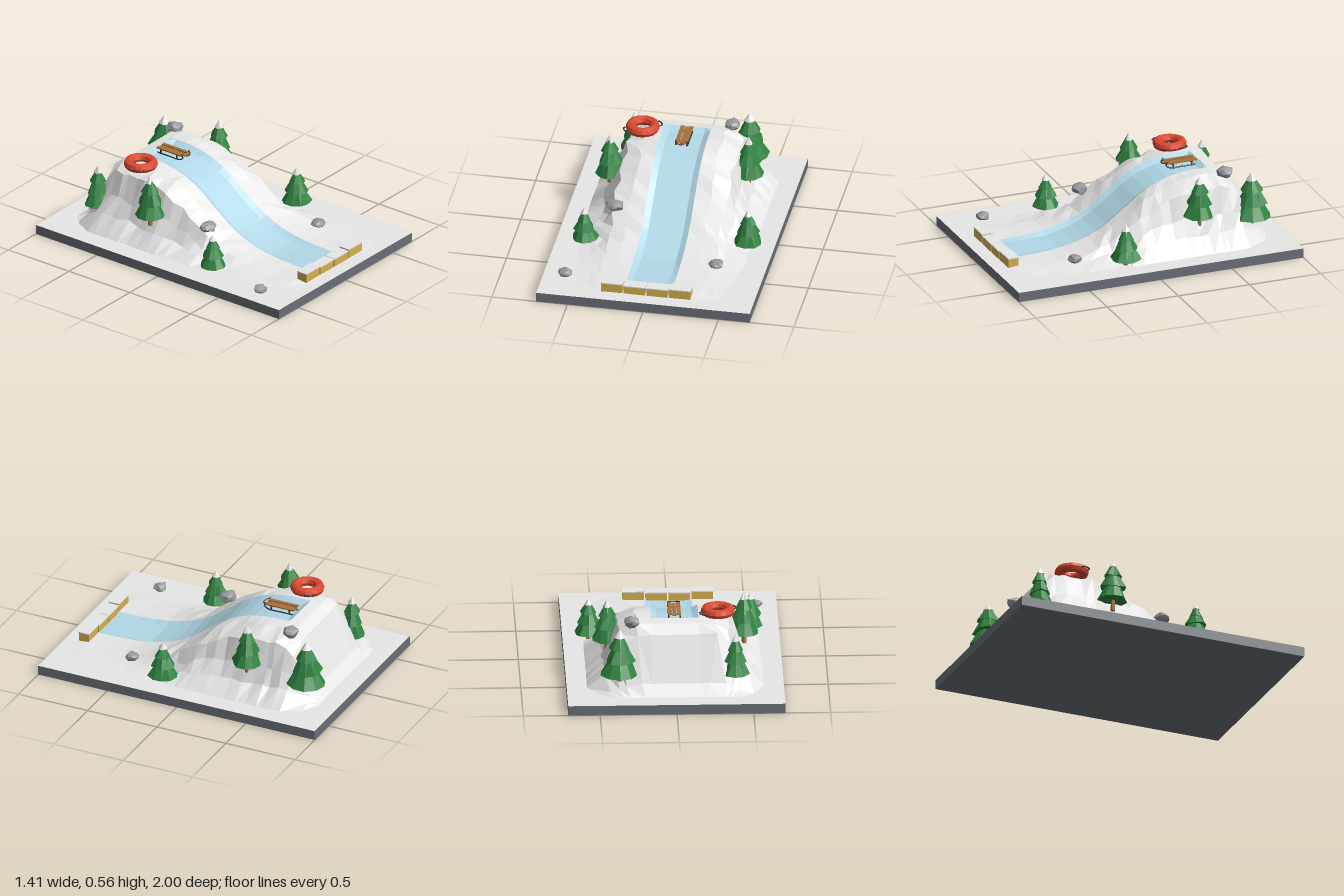
import * as THREE from 'three';

const mat = (name, color, extra = {}) => Object.assign(new THREE.MeshStandardMaterial({ color, flatShading: true, ...extra }), { name });
const M = {
  snow: mat('snow', 0xf0f0f0, { side: THREE.DoubleSide }),
  ice: mat('ice', 0xb2d9e8, { side: THREE.DoubleSide }),
  slab: mat('slate', 0x6a6f76),
  wood: mat('wood', 0xa8703a),
  leaf: mat('foliage', 0x2f8440),
  rock: mat('rock', 0x97999d),
  red: mat('red rubber', 0xd9482f),
  straw: mat('straw', 0xd6b050),
  dark: mat('dark metal', 0x3a3c40),
  cord: mat('brown cord', 0x7a4426),
};

// Repeatable noise in -1..1 from a position
const noise = (x, y, z) => {
  const s = Math.sin(Math.round(x * 1e3) * 12.99 + Math.round(y * 1e3) * 78.23 + Math.round(z * 1e3) * 37.72) * 43758.55;
  return (s - Math.floor(s)) * 2 - 1;
};

function add(parent, name, geo, material, x = 0, y = 0, z = 0) {
  const m = new THREE.Mesh(geo, material);
  m.name = name;
  m.position.set(x, y, z);
  parent.add(m);
  return m;
}

function subgroup(parent, name, x = 0, y = 0, z = 0) {
  const g = new THREE.Group();
  g.name = name;
  g.position.set(x, y, z);
  parent.add(g);
  return g;
}

function tube(points, r, n = 12) {
  const curve = new THREE.CatmullRomCurve3(points.map(p => new THREE.Vector3(...p)));
  return new THREE.TubeGeometry(curve, n, r, 6);
}

// Hill: rows of z, ridge height and width scale, swept over fixed columns
function buildHill(root) {
  const rows = [
    [-0.87, 0.067, 0.8], [-0.81, 0.14, 0.88], [-0.68, 0.43, 1], [-0.62, 0.485, 1], [-0.55, 0.496, 1],
    [-0.51, 0.496, 1], [-0.43, 0.496, 1], [-0.36, 0.49, 1], [-0.28, 0.475, 1], [-0.2, 0.449, 1],
    [-0.13, 0.418, 1], [-0.06, 0.375, 1], [0.01, 0.32, 1], [0.08, 0.27, 1], [0.15, 0.218, 1],
    [0.22, 0.176, 1], [0.3, 0.142, 1], [0.38, 0.117, 1], [0.47, 0.097, 1], [0.56, 0.086, 1],
    [0.68, 0.079, 1], [0.83, 0.077, 0.95], [0.92, 0.068, 0.8]];
  const half = [[0.115, 1], [0.155, 1], [0.255, 0.99], [0.36, 0.87], [0.41, 0.5], [0.47, 0.24], [0.58, 0]];
  const cols = [...half.map(([x, f]) => [-x, f]).reverse(), ...half];
  const grid = rows.map(([z, h, s], j) => cols.map(([x, f]) => {
    const ax = Math.abs(x), rise = h - 0.065;
    let y = 0.065 + rise * f;
    if (ax > 0.57) y = 0.06;
    else if (ax > 0.2) y = Math.max(0.066, y + noise(x, j, 3) * Math.min(0.018, rise * 0.1));
    else if (ax < 0.12 && j > 4 && j < rows.length - 1) y = Math.max(0.07, h - 0.022);
    const dx = ax > 0.2 && ax < 0.57 ? noise(x, 7, j) * 0.018 : 0;
    return [(x + dx) * (ax > 0.16 ? s : 1), y, z];
  }));
  const tris = { snow: [], ice: [] };
  for (let j = 0; j < rows.length - 1; j++) for (let i = 0; i < cols.length - 1; i++) {
    const icy = i >= 5 && i <= 7 && j >= 4 && j < rows.length - 2;
    const a = grid[j][i], b = grid[j][i + 1], c = grid[j + 1][i + 1], d = grid[j + 1][i];
    tris[icy ? 'ice' : 'snow'].push(...a, ...d, ...c, ...a, ...c, ...b);
  }
  for (const [key, name] of [['snow', 'snowHill'], ['ice', 'iceSlide']]) {
    const geo = new THREE.BufferGeometry();
    geo.setAttribute('position', new THREE.Float32BufferAttribute(tris[key], 3));
    geo.computeVertexNormals();
    add(root, name, geo, M[key]);
  }
}

// One ragged cone tier, its base at y = 0
function tier(rTop, rBottom, h, seed, rough = 0.14) {
  const geo = new THREE.CylinderGeometry(rTop, rBottom, h, 10).translate(0, h / 2, 0);
  const p = geo.attributes.position;
  for (let i = 0; i < p.count; i++) {
    if (p.getY(i) > h * 0.5 || Math.hypot(p.getX(i), p.getZ(i)) < 1e-4) continue;
    const n = noise(p.getX(i), seed, p.getZ(i)), k = 1 + n * rough;
    p.setXYZ(i, p.getX(i) * k, n * h * 0.07, p.getZ(i) * k);
  }
  geo.computeVertexNormals();
  return geo;
}

// Fir tree: trunk, three tiers and a snowy tip
function buildTree(root, x, z, foot, low, top, r, seed) {
  const g = subgroup(root, 'firTree', x, 0, z);
  const h = top - low;
  add(g, 'trunk', new THREE.CylinderGeometry(0.012, 0.016, low - foot + 0.08, 8), M.wood, 0, (foot + low + 0.08) / 2, 0);
  [[0, 0.42, 1, 0.42], [0.3, 0.38, 0.78, 0.3], [0.58, 0.3, 0.55, 0.15]].forEach(([y, th, r0, r1], i) =>
    add(g, 'foliageTier', tier(r * r1, r * r0, h * th, seed + i), M.leaf, 0, low + h * y, 0));
  add(g, 'snowTip', tier(0, r * 0.28, h * 0.18, seed + 5), M.snow, 0, low + h * 0.82, 0);
}

function buildRock(root, x, y, z, rx, ry, rz) {
  const geo = new THREE.IcosahedronGeometry(1, 1);
  const p = geo.attributes.position;
  for (let i = 0; i < p.count; i++) {
    const k = 0.94 + 0.14 * noise(p.getX(i) + x, p.getY(i), p.getZ(i) + z);
    p.setXYZ(i, p.getX(i) * k * rx, p.getY(i) * k * ry, p.getZ(i) * k * rz);
  }
  geo.computeVertexNormals();
  add(root, 'rock', geo, M.rock, x, y, z);
}

// Inflatable ring with two handles
function buildRing(root) {
  const g = subgroup(root, 'snowTube', -0.283, 0.513, -0.465);
  add(g, 'ring', new THREE.TorusGeometry(0.08, 0.032, 8, 18).rotateX(Math.PI / 2), M.red);
  for (const a of [0.53, 0.53 + Math.PI]) {
    const h = subgroup(g, 'handle');
    h.rotation.y = a;
    add(h, 'grip', tube([[0.1, 0, -0.03], [0.122, 0, -0.026], [0.13, 0, 0], [0.122, 0, 0.026], [0.1, 0, 0.03]], 0.005), M.dark);
  }
}

// Sled: slats on crossbars, two curled runners and a pull cord
function buildSled(root) {
  const g = subgroup(root, 'sled', 0, 0.474, -0.42);
  for (const x of [-0.029, 0, 0.029])
    add(g, 'slat', new THREE.BoxGeometry(0.025, 0.008, 0.21), M.wood, x, x ? 0.036 : 0.03, 0);
  for (const z of [-0.07, 0.06]) {
    add(g, 'crossbar', new THREE.BoxGeometry(0.076, 0.007, 0.014), M.wood, 0, 0.024, z);
    for (const s of [-1, 1]) add(g, 'post', new THREE.BoxGeometry(0.007, 0.03, 0.009), M.dark, s * 0.036, 0.015, z);
  }
  for (const s of [-1, 1])
    add(g, 'runner', tube([[s * 0.037, 0.004, -0.1], [s * 0.037, 0.004, 0], [s * 0.037, 0.005, 0.08], [s * 0.037, 0.024, 0.11], [s * 0.037, 0.05, 0.1]], 0.0045, 18), M.dark);
  add(g, 'pullCord', tube([[-0.037, 0.045, 0.1], [-0.024, 0.038, 0.122], [0, 0.034, 0.13], [0.024, 0.038, 0.122], [0.037, 0.045, 0.1]], 0.004), M.cord);
}

export function createModel() {
  const root = new THREE.Group();
  root.name = 'sleddingHill';

  // Slab with a snowy top face
  add(root, 'baseSlab', new THREE.BoxGeometry(1.414, 0.065, 2), [M.slab, M.slab, M.snow, M.slab, M.slab, M.slab], 0, 0.0325, 0);
  buildHill(root);

  // x, z, trunk foot, foliage bottom, top, radius
  [[-0.39, -0.735, 0.1, 0.18, 0.455, 0.09],
    [0.365, -0.775, 0.15, 0.2, 0.508, 0.125],
    [-0.46, -0.25, 0.2, 0.275, 0.557, 0.1],
    [0.435, -0.38, 0.2, 0.29, 0.565, 0.1],
    [0.537, 0.18, 0.07, 0.113, 0.352, 0.095],
    [-0.52, 0.31, 0.065, 0.105, 0.325, 0.086]].forEach((t, i) => buildTree(root, ...t, i * 11 + 1));

  buildRock(root, -0.35, 0.265, 0.14, 0.062, 0.038, 0.055);
  buildRock(root, 0.28, 0.5, -0.62, 0.053, 0.04, 0.06);
  buildRock(root, 0.385, 0.1, 0.475, 0.05, 0.032, 0.048);
  buildRock(root, -0.565, 0.08, 0.735, 0.05, 0.03, 0.045);

  buildRing(root);
  buildSled(root);

  // Straw bales with snow on top across the run-out
  [-0.225, -0.075, 0.075, 0.225].forEach((x, i) => {
    const h = i % 3 ? 0.055 : 0.063;
    add(root, 'strawBale', new THREE.BoxGeometry(0.14, h, 0.072), M.straw, x, 0.065 + h / 2, 0.87);
    add(root, 'baleSnow', new THREE.BoxGeometry(0.146, 0.007, 0.078), M.snow, x, 0.0685 + h, 0.87);
  });
  return root;
}
